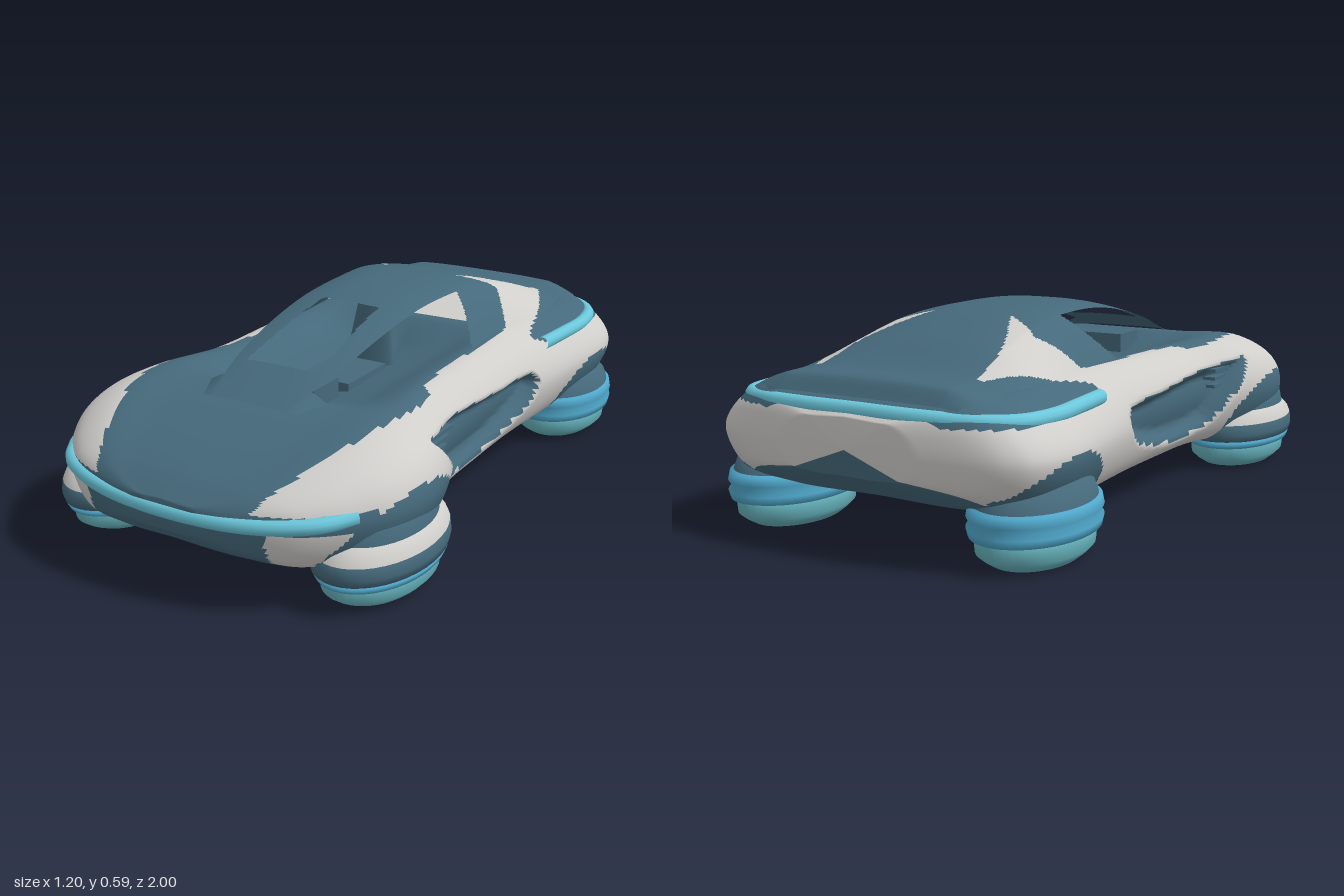
import * as THREE from 'three';

const mat = (name, color, side = THREE.FrontSide) => {
  const m = new THREE.MeshStandardMaterial({ color, side });
  m.name = name;
  return m;
};

// Smooth interpolation through [z, value] pairs listed from front (+z) to back
function curve(pairs) {
  const n = pairs.length;
  const slope = (i) => {
    const a = pairs[Math.max(0, i - 1)], b = pairs[Math.min(n - 1, i + 1)];
    return (b[1] - a[1]) / (b[0] - a[0]);
  };
  return (z) => {
    if (z >= pairs[0][0]) return pairs[0][1];
    if (z <= pairs[n - 1][0]) return pairs[n - 1][1];
    let i = 0;
    while (z < pairs[i + 1][0]) i++;
    const [z0, v0] = pairs[i], [z1, v1] = pairs[i + 1];
    const h = z1 - z0, t = (z - z0) / h, s = t * t * (3 - 2 * t);
    return v0 * (1 - s) + v1 * s + h * (t * (1 - t) ** 2 * slope(i) - t * t * (1 - t) * slope(i + 1));
  };
}

// Grid surface; pick(centre, j) gives a material index, or -1 for an opening
function gridMesh(name, rows, cols, point, pick, materials) {
  const pts = [];
  for (let i = 0; i <= rows; i++) for (let j = 0; j <= cols; j++) pts.push(point(i, j));
  const lists = materials.map(() => []);
  for (let i = 0; i < rows; i++) for (let j = 0; j < cols; j++) {
    const a = i * (cols + 1) + j, b = a + cols + 1;
    const k = pick(pts[a].clone().add(pts[b + 1]).multiplyScalar(0.5), j);
    if (k >= 0) lists[k].push(a, b, a + 1, b, b + 1, a + 1);
  }
  const geo = new THREE.BufferGeometry().setFromPoints(pts);
  geo.setIndex(lists.flat());
  let start = 0;
  lists.forEach((l, k) => { geo.addGroup(start, l.length, k); start += l.length; });
  geo.computeVertexNormals();
  const mesh = new THREE.Mesh(geo, materials);
  mesh.name = name;
  return mesh;
}

// Body outlines along z
const width = curve([[0.99, 0.08], [0.97, 0.2], [0.93, 0.33], [0.88, 0.41], [0.8, 0.485], [0.7, 0.545], [0.58, 0.568],
  [0.45, 0.55], [0.25, 0.485], [0, 0.475], [-0.25, 0.477], [-0.5, 0.5], [-0.7, 0.528], [-0.8, 0.525], [-0.88, 0.505], [-0.93, 0.465], [-0.965, 0.385], [-1, 0.18]]);
const bottom = curve([[0.99, 0.21], [0.95, 0.165], [0.85, 0.115], [0.6, 0.09], [0, 0.09], [-0.5, 0.095], [-0.75, 0.115], [-0.9, 0.155], [-1, 0.225]]);
const middle = curve([[0.99, 0.25], [0.8, 0.25], [0.5, 0.25], [0, 0.26], [-0.6, 0.27], [-1, 0.29]]);
const crown = curve([[0.99, 0.28], [0.9, 0.33], [0.75, 0.385], [0.6, 0.42], [0.45, 0.43], [0.2, 0.425], [-0.4, 0.435], [-0.8, 0.43], [-0.93, 0.41], [-1, 0.36]]);
const centre = curve([[0.99, 0.285], [0.9, 0.335], [0.75, 0.385], [0.6, 0.42], [0.45, 0.43], [0.2, 0.425], [-0.8, 0.43], [-0.93, 0.415], [-1, 0.37]]);
const cabinWell = curve([[0.5, 0], [0.42, 0.05], [0.32, 0.09], [0, 0.09], [-0.2, 0.09], [-0.34, 0]]);
const shoulder = curve([[0.2, 0.94], [-0.2, 0.935], [-0.5, 0.9], [-1, 0.89]]);
// Edges of the side scoop, the painted bonnet and the pale rear horns
const scoopTop = curve([[0.46, 0.375], [0.3, 0.36], [-0.1, 0.335], [-0.3, 0.325], [-0.33, 0.3]]);
const scoopLow = curve([[0.46, 0.365], [0.4, 0.31], [0.33, 0.24], [0.25, 0.175], [0, 0.165], [-0.22, 0.205], [-0.31, 0.25], [-0.33, 0.29]]);
const bonnetEdge = curve([[0.99, 0.2], [0.95, 0.25], [0.8, 0.33], [0.6, 0.4], [0.4, 0.415], [0.26, 0.39], [0.2, 0.345], [-0.3, 0.34], [-0.38, 0.33]]);
const hornInner = curve([[-0.4, 0.13], [-0.6, 0.225], [-0.77, 0.255]]);
const hornOuter = curve([[-0.37, 0.43], [-0.45, 0.39], [-0.6, 0.35], [-0.77, 0.275]]);
const scoopDepth = (z, y) => (z > 0.46 || z < -0.33 ? -1 : Math.min(scoopTop(z) - y, y - scoopLow(z)));
const inEllipse = (z, y, cz, cy, rz, ry) => ((z - cz) / rz) ** 2 + ((y - cy) / ry) ** 2 < 1;

function buildBody(white, slate) {
  const ROWS = 230, HALF = 70;
  const sections = [];
  for (let i = 0; i <= ROWS; i++) {
    const u = i / ROWS;
    const z = -0.005 + 0.995 * (0.5 * Math.cos(Math.PI * u) + 0.5 * (1 - 2 * u));
    const w = width(z), b = bottom(z), m = middle(z), t = crown(z), c = centre(z) - cabinWell(z), k = shoulder(z);
    const path = new THREE.CatmullRomCurve3([[0, b], [0.55 * w, b], [0.87 * w, b + 0.2 * (m - b)], [w, m],
      [k * w, m + 0.6 * (t - m)], [(k - 0.21) * w, t], [0.4 * w, (t + c) / 2], [0, c]].map(([x, y]) => new THREE.Vector3(x, y, z)));
    sections.push(path.getPoints(HALF));
  }
  const point = (i, j) => {
    const p = sections[i][j <= HALF ? j : 2 * HALF - j].clone();
    if (i === 0 || i === ROWS) return new THREE.Vector3(0, middle(p.z), p.z);
    const d = p.x > 0.3 ? scoopDepth(p.z, p.y) : -1;
    if (d > 0) p.x -= 0.055 * Math.min(1, d / 0.035);
    if (j > HALF) p.x *= -1;
    return p;
  };
  const paint = (p, j) => {
    const t = Math.min(j, 2 * HALF - 1 - j) / HALF, x = Math.abs(p.x), { y, z } = p;
    if (t < 0.23 || (z < -0.8 && y < 0.235 - 0.4 * x * x)) return 1;
    if (x > 0.3 && scoopDepth(z, y) > 0) return 1;
    if (x > 0.38 && inEllipse(z, y, 0.6, 0.14, 0.25, 0.17)) return 1;
    if (x > 0.38 && inEllipse(z, y, -0.72, 0.12, 0.23, 0.165)) return 1;
    if (z < -0.37) {
      if (z > -0.77 && x < hornOuter(z)) return 0;
      return y > 0.37 + Math.max(0, z + 0.48) * 0.4 && z > -0.973 ? 1 : 0;
    }
    if (z > 0.75 && Math.abs(y - 0.265) < 0.025) return 1;
    if (z > 0.7 && y < 0.25) return x < 0.29 ? 1 : 0;
    return y > 0.26 && x < bonnetEdge(z) ? 1 : 0;
  };
  return gridMesh('body', ROWS, 2 * HALF, point, paint, [white, slate]);
}

// Roof with open windscreen and side windows, running into the rear deck
function buildRoof(white, slate) {
  const height = curve([[0.6, 0.425], [0.5, 0.462], [0.4, 0.495], [0.2, 0.55], [0, 0.585], [-0.2, 0.592], [-0.4, 0.58],
    [-0.6, 0.53], [-0.78, 0.465], [-0.9, 0.46], [-0.94, 0.415]]);
  const strip = curve([[0.6, 0.13], [0.4, 0.17], [0.2, 0.187], [-0.2, 0.205], [-0.5, 0.23], [-0.94, 0.26]]);
  const base = curve([[0.6, 0.17], [0.4, 0.26], [0.2, 0.33], [-0.3, 0.345], [-0.6, 0.38], [-0.82, 0.39], [-0.9, 0.355], [-0.94, 0.3]]);
  const ROWS = 220, HALF = 60;
  const point = (i, j) => {
    const z = 0.6 - i * 0.007, u = Math.abs(j / HALF - 1), s = Math.sign(HALF - j);
    const h = height(z), ws = strip(z), wb = base(z), low = Math.min(0.417, h - 0.01);
    const drop = 0.14 * (h - low);
    if (u <= 0.5) return new THREE.Vector3(s * ws * u * 2, h - drop * (2 * u) ** 3, z);
    const a = (u - 0.5) * 2;
    const y = h - drop - (h - drop - low) * (0.65 * a + 0.35 * a * a);
    return new THREE.Vector3(s * (ws + (wb - ws) * a), y, z);
  };
  const paint = (p, j) => {
    const u = Math.abs((j + 0.5) / HALF - 1), x = Math.abs(p.x), z = p.z;
    if (z > 0.05 && z < 0.43 && x < 0.1 + 0.06 * (z - 0.05)) return -1;
    if (u > 0.5 && z < 0.5 && z > -0.13 - 0.14 * (p.y - 0.43) / 0.15) return -1;
    const hornFront = x < 0.25 ? -0.4 - (x - 0.13) * 0.6 : -0.472 + (x - 0.25) * 1.2;
    return z < hornFront && z > -0.77 && x > hornInner(z) && x < hornOuter(z) ? 0 : 1;
  };
  return gridMesh('roof', ROWS, 2 * HALF, point, paint, [white, slate]);
}

export function createModel() {
  const model = new THREE.Group();
  model.name = 'hoverCar';
  const white = mat('pearl white', 0xd0cecb);
  const slate = mat('slate blue', 0x45697b);
  const whiteShell = mat('pearl white shell', 0xd0cecb, THREE.DoubleSide);
  const slateShell = mat('slate blue shell', 0x45697b, THREE.DoubleSide);
  const cyan = mat('light cyan', 0x6cc8dc);
  const blue = mat('bright blue', 0x50a8cc);
  const teal = mat('teal', 0x66b2bc, THREE.DoubleSide);
  const add = (parent, name, geo, material, x = 0, y = 0, z = 0) => {
    const mesh = new THREE.Mesh(geo, material);
    mesh.name = name;
    mesh.position.set(x, y, z);
    parent.add(mesh);
    return mesh;
  };

  model.add(buildBody(white, slate), buildRoof(whiteShell, slateShell));

  // Light strips wrapping the nose and tail
  const lightStrip = (name, half, radius) => {
    const mirrored = half.slice(1).reverse().map(([x, y, z]) => [-x, y, z]);
    const path = new THREE.CatmullRomCurve3([...mirrored, ...half].map((p) => new THREE.Vector3(...p)));
    add(model, name, new THREE.TubeGeometry(path, 90, radius, 10), cyan);
  };
  lightStrip('frontLightStrip', [[0, 0.256, 0.977], [0.2, 0.258, 0.96], [0.33, 0.264, 0.921], [0.41, 0.27, 0.872], [0.47, 0.275, 0.79]], 0.022);
  lightStrip('rearLightStrip', [[0, 0.388, -0.962], [0.16, 0.387, -0.96], [0.3, 0.384, -0.938], [0.385, 0.381, -0.9],
    [0.435, 0.379, -0.84], [0.459, 0.378, -0.72], [0.451, 0.378, -0.58], [0.437, 0.377, -0.44]], 0.022);

  // Hover pods: stacked oval rings, each [radius, height]
  const base = [[0, 0.022], [0.48, 0.022], [0.56, 0.004], [0.68, 0], [0.8, 0.015], [0.9, 0.032], [0.92, 0.07], [0.84, 0.08]];
  const frontRings = [['podBase', base, teal],
    ['podGlowRing', [[0.82, 0.06], [0.99, 0.073], [1.03, 0.09], [0.9, 0.108]], blue],
    ['podSkirt', [[0.9, 0.088], [1.04, 0.096], [1.07, 0.118], [1.05, 0.15], [0.95, 0.165]], slate],
    ['podCover', [[1.05, 0.148], [1.0, 0.17], [0.92, 0.186], [0.84, 0.198], [0.6, 0.205]], white],
    ['podDome', [[0.88, 0.19], [0.83, 0.23], [0.64, 0.268], [0.4, 0.29], [0, 0.297]], slate]];
  const rearRings = [['podBase', base, teal],
    ['podGlowRing', [[0.82, 0.067], [1, 0.078], [1.03, 0.1], [0.97, 0.115], [1.03, 0.13], [1, 0.155], [0.85, 0.165]], blue],
    ['podDome', [[0.95, 0.155], [0.88, 0.19], [0.65, 0.225], [0.35, 0.245], [0, 0.25]], slate]];
  const pod = (name, rings, x, z, rx, rz) => {
    const group = new THREE.Group();
    group.name = name;
    for (const [part, profile, material] of rings) {
      add(group, part, new THREE.LatheGeometry(profile.map(([r, y]) => new THREE.Vector2(r, y)), 40), material);
    }
    group.position.set(x, 0, z);
    group.scale.set(rx, 1, rz);
    model.add(group);
  };
  for (const [side, s] of [['left', 1], ['right', -1]]) {
    pod(side + 'FrontPod', frontRings, s * 0.432, 0.6, 0.156, 0.24);
    pod(side + 'RearPod', rearRings, s * 0.4, -0.72, 0.156, 0.22);
    // Louvres at the front of the side scoop
    for (let k = 0; k < 3; k++) {
      add(model, side + 'Louvre', new THREE.BoxGeometry(0.05, 0.01, 0.13 - k * 0.015), slate, s * (0.452 - k * 0.004), 0.345 - k * 0.027, 0.345);
    }
  }

  // Cabin furniture
  add(model, 'dashboard', new THREE.BoxGeometry(0.24, 0.06, 0.13), slate, 0, 0.405, 0.38);
  add(model, 'seatCushion', new THREE.BoxGeometry(0.18, 0.04, 0.22), slate, 0, 0.355, 0.1);
  const back = add(model, 'seatBack', new THREE.CylinderGeometry(0.06, 0.09, 0.19, 24), slate, 0, 0.435, -0.08);
  back.scale.z = 0.3;
  back.rotation.x = -0.15;

  return model;
}
